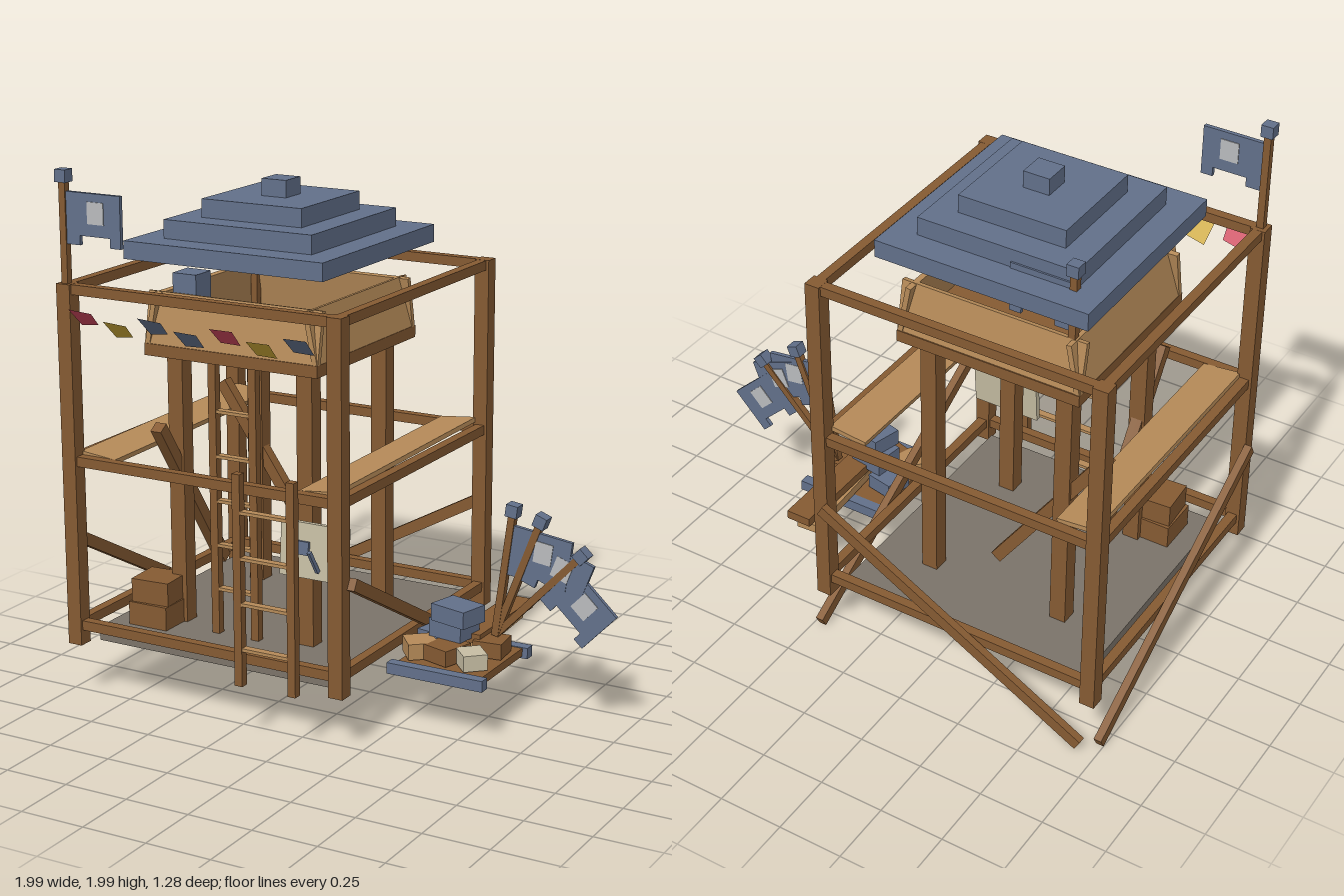
import * as THREE from 'three';

const mat = (name, color, side = THREE.FrontSide) => {
  const m = new THREE.MeshStandardMaterial({ color, side });
  m.name = name;
  return m;
};

export function createModel() {
  const model = new THREE.Group();
  model.name = 'watchtower';
  const brown = mat('brown wood', 0x855a32);
  const tan = mat('pale wood', 0xb58a58);
  const blue = mat('slate blue', 0x62708a);
  const stone = mat('grey stone', 0x7b7369);
  const cream = mat('cream', 0xc6bda3);
  const silver = mat('light grey', 0xb9bbbd);
  const red = mat('red cloth', 0xc8445a, THREE.DoubleSide);
  const gold = mat('gold cloth', 0xc9a636, THREE.DoubleSide);
  const blueCloth = mat('blue cloth', 0x62708a, THREE.DoubleSide);

  const group = (name, parent = model) => {
    const g = new THREE.Group();
    g.name = name;
    parent.add(g);
    return g;
  };
  const box = (parent, name, m, size, pos, rot = [0, 0, 0]) => {
    const b = new THREE.Mesh(new THREE.BoxGeometry(...size), m);
    b.name = name;
    b.position.set(...pos);
    b.rotation.set(...rot);
    parent.add(b);
    return b;
  };
  // square-section board between two points
  const beam = (parent, name, m, a, b, w, d = w) => {
    const p = new THREE.Vector3(...a), q = new THREE.Vector3(...b);
    const mid = p.clone().add(q).multiplyScalar(0.5);
    const mesh = box(parent, name, m, [w, d, p.distanceTo(q)], mid.toArray());
    mesh.lookAt(q);
    return mesh;
  };

  const CX = -0.385, CZ = -0.022, R = 0.56;

  // Outer scaffold: corner posts, three rings of rails, two walkways
  const scaffold = group('scaffold');
  for (const sx of [-1, 1]) {
    for (const sz of [-1, 1])
      box(scaffold, 'cornerPost', brown, [0.058, 1.375, 0.058], [CX + sx * R, 0.8975, CZ + sz * R]);
    box(scaffold, 'walkway', tan, [0.15, 0.018, 1.08],
      [CX + sx * 0.465, 0.945, CZ], [0.012, 0, sx * 0.1]);
  }
  for (const y of [0.287, 0.923, 1.566]) for (const s of [-1, 1]) {
    box(scaffold, 'railAlongX', brown, [1.09, 0.037, 0.037], [CX, y, CZ + s * R]);
    box(scaffold, 'railAlongZ', brown, [0.037, 0.037, 1.09], [CX + s * R, y, CZ]);
  }
  // Slanted outer braces
  beam(scaffold, 'backBrace', brown, [-0.93, 0.03, -0.625], [0.16, 0.63, -0.625], 0.03, 0.045);
  for (const x of [-0.985, 0.218])
    beam(scaffold, 'sideBrace', brown, [x, 0.63, 0.52], [x, 0.025, -0.58], 0.03, 0.045);

  // Stone floor, hollow below
  const floor = group('floor');
  box(floor, 'floorTop', stone, [1.005, 0.015, 1.02], [CX - 0.002, 0.2575, -0.028]);
  for (const s of [-1, 1]) {
    box(floor, 'floorRim', stone, [1.005, 0.055, 0.015], [CX - 0.002, 0.2375, -0.028 + s * 0.5025]);
    box(floor, 'floorRim', stone, [0.015, 0.055, 1.02], [CX - 0.002 + s * 0.495, 0.2375, -0.028]);
  }

  // Inner tower: legs, braces and lookout basket
  const tower = group('tower');
  for (const sx of [-1, 1]) for (const sz of [-1, 1])
    box(tower, 'leg', brown, [0.064, 1.045, 0.064], [CX + sx * 0.275, 0.785, CZ + sz * 0.275]);
  beam(tower, 'legBrace', brown, [-0.82, 1.05, -0.295], [-0.39, 0.43, -0.295], 0.045);
  beam(tower, 'legBrace', brown, [-0.66, 1.05, 0.4], [-0.66, 0.43, -0.02], 0.045);
  box(tower, 'basketFloor', brown, [0.73, 0.045, 0.735], [CX, 1.3225, CZ]);
  for (const s of [-1, 1]) {
    box(tower, 'basketWall', tan, [0.73, 0.195, 0.02], [CX, 1.438, CZ + s * 0.335], [-s * 0.19, 0, 0]);
    box(tower, 'basketWall', tan, [0.02, 0.195, 0.73], [CX + s * 0.335, 1.438, CZ], [0, 0, s * 0.19]);
  }
  box(tower, 'basketCrate', brown, [0.16, 0.1, 0.14], [-0.6, 1.395, 0.22]);
  box(tower, 'basketBundle', blue, [0.1, 0.16, 0.1], [-0.61, 1.525, 0.235]);

  // Stepped roof
  const roof = group('roof');
  [[0.83, 1.66, 1.727], [0.62, 1.727, 1.797], [0.42, 1.797, 1.866], [0.103, 1.866, 1.93]]
    .forEach(([w, a, b]) => box(roof, 'roofStep', blue, [w, b - a, w], [CX, (a + b) / 2, -0.026]));

  // Flag on a capped pole; the origin is the middle of the cap
  const flagShape = new THREE.Shape([
    [0.01, -0.055], [0.01, -0.245], [0.07, -0.245], [0.07, -0.21],
    [0.2, -0.21], [0.2, -0.245], [0.245, -0.245], [0.245, -0.055],
  ].map(p => new THREE.Vector2(...p)));
  const flagGeo = new THREE.ExtrudeGeometry(flagShape, { depth: 0.016, bevelEnabled: false });
  flagGeo.translate(0, 0, -0.008);
  const flag = (pos, length, tilt = 0) => {
    const g = group('flag');
    g.position.set(...pos);
    g.rotation.z = tilt;
    box(g, 'flagPole', brown, [0.027, length, 0.027], [0, -length / 2, 0]);
    box(g, 'poleCap', blue, [0.046, 0.046, 0.046], [0, 0, 0]);
    const cloth = new THREE.Mesh(flagGeo, blue);
    cloth.name = 'flagCloth';
    g.add(cloth);
    box(g, 'flagPatch', silver, [0.07, 0.08, 0.022], [0.14, -0.125, 0]);
  };
  flag([-0.945, 1.975, 0.54], 0.39);
  flag([-0.69, 1.805, -0.335], 0.48);
  flag([0.575, 0.805, -0.028], 0.49, -0.13);
  flag([0.685, 0.78, -0.03], 0.49, -0.36);
  flag([0.845, 0.675, -0.032], 0.49, -0.755);

  // Bunting: slanted cloth pennants
  const bunting = group('bunting');
  const cloths = [red, gold, blueCloth, blueCloth, red, gold, blueCloth];
  cloths.forEach((m, i) => {
    const skew = Math.sign(3 - i);
    const pts = [[-0.046, 0.046 + skew * 0.004], [-0.038, -0.046 - skew * 0.004],
      [0.042, -0.04 + skew * 0.006], [0.046, 0.04 - skew * 0.002]];
    const shape = new THREE.Shape(pts.map(p => new THREE.Vector2(...p)));
    const p = new THREE.Mesh(new THREE.ShapeGeometry(shape), m);
    p.name = 'pennant';
    p.position.set(-0.827 + i * 0.1475, i % 2 ? 1.45 : 1.478, 0.6);
    p.rotation.x = Math.PI / 4;
    bunting.add(p);
  });

  // Ladders
  const ladder = (x, z, gap, y0, y1, rungs, first) => {
    const g = group('ladder');
    for (const s of [-1, 1])
      box(g, 'ladderRail', brown, [0.032, y1 - y0, 0.032], [x + s * gap / 2, (y0 + y1) / 2, z]);
    for (let i = 0; i < rungs; i++)
      box(g, 'rung', tan, [gap, 0.012, 0.03], [x, first + i * 0.17, z]);
  };
  ladder(-0.077, 0.613, 0.22, 0.21, 1.0, 4, 0.35);
  ladder(-0.385, 0.317, 0.17, 0.265, 1.31, 5, 0.44);

  // Target board
  const target = group('targetBoard');
  target.position.set(-0.04, 0.655, 0.335);
  target.rotation.x = -0.08;
  box(target, 'board', cream, [0.275, 0.205, 0.022], [0, 0, 0]);
  box(target, 'boardCentre', blue, [0.05, 0.05, 0.02], [-0.04, 0.01, 0.012]);
  beam(target, 'dart', blue, [-0.02, -0.05, 0.015], [0.055, -0.01, 0.06], 0.014);

  // Crates on the floor
  const crates = group('crates');
  box(crates, 'lowerCrate', brown, [0.165, 0.09, 0.165], [-0.725, 0.31, 0.325]);
  box(crates, 'upperCrate', brown, [0.155, 0.09, 0.15], [-0.722, 0.402, 0.325], [0, 0.06, 0]);

  // Side platform with supplies
  const side = group('supplyPlatform');
  box(side, 'platformBase', brown, [0.34, 0.03, 0.35], [0.41, 0.235, 0.055]);
  for (const z of [-0.132, 0.243])
    box(side, 'platformEdge', blue, [0.385, 0.042, 0.042], [0.408, 0.232, z]);
  box(side, 'plank', brown, [0.1, 0.035, 0.45], [0.43, 0.315, -0.185]);
  box(side, 'plank', tan, [0.09, 0.035, 0.4], [0.415, 0.275, -0.19], [0, 0.06, 0]);
  box(side, 'lowCrate', brown, [0.12, 0.06, 0.13], [0.39, 0.285, 0.13], [0, -0.3, 0]);
  box(side, 'lowCrate', tan, [0.11, 0.06, 0.11], [0.285, 0.285, 0.135], [0, 0.7, 0]);
  box(side, 'lowCrate', cream, [0.09, 0.06, 0.1], [0.505, 0.285, 0.155], [0, 0.75, 0]);
  box(side, 'lowCrate', brown, [0.11, 0.06, 0.11], [0.51, 0.285, 0], [0, 0.1, 0]);
  box(side, 'lowCrate', blue, [0.11, 0.06, 0.11], [0.29, 0.285, 0], [0, -0.2, 0]);
  box(side, 'middleCrate', blue, [0.14, 0.07, 0.12], [0.375, 0.35, 0.04], [0, -0.15, 0]);
  box(side, 'topCrate', blue, [0.155, 0.065, 0.12], [0.405, 0.417, 0.07], [0, -0.25, 0]);

  return model;
}
